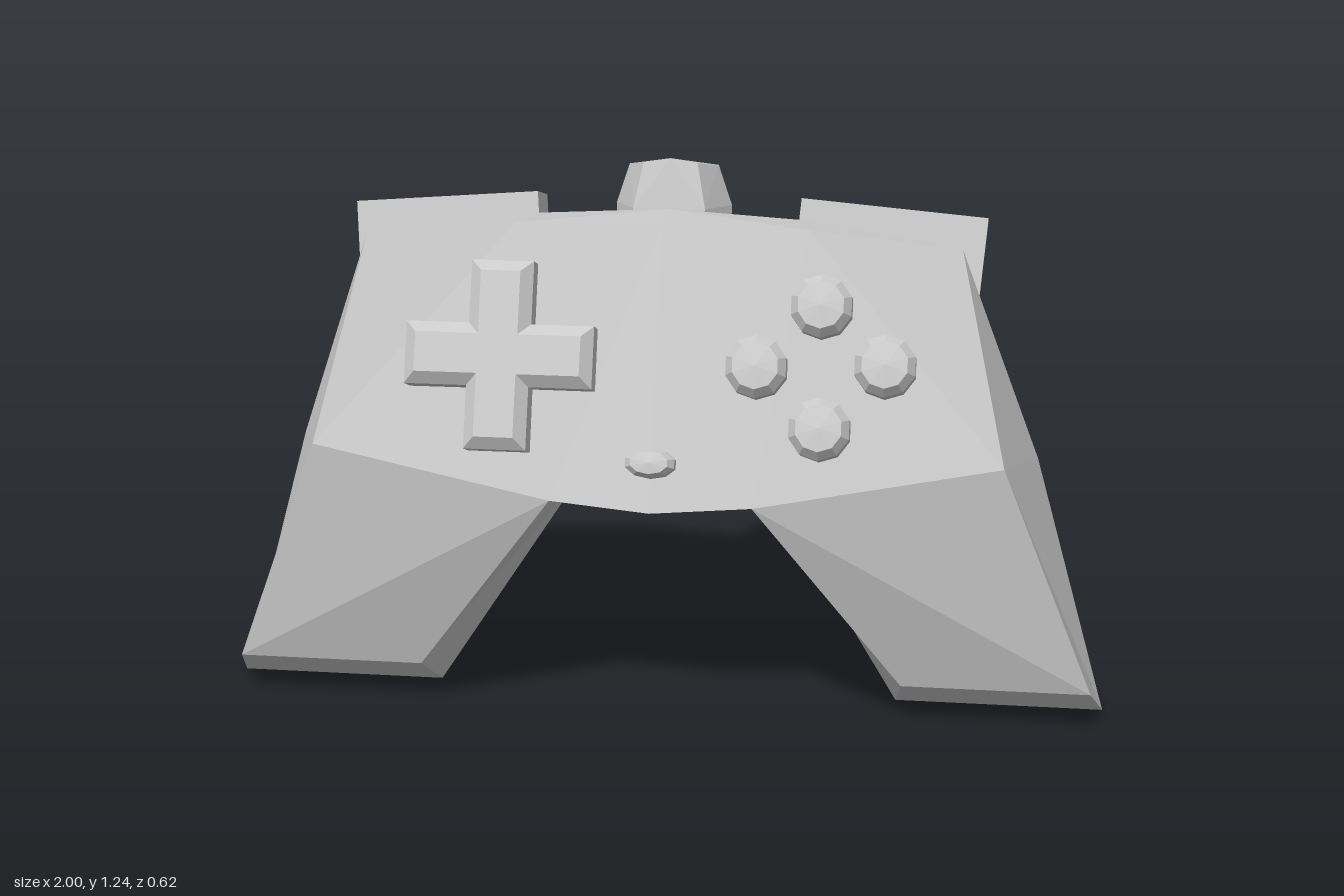
import * as THREE from 'three';
import { ConvexGeometry } from 'three/addons/geometries/ConvexGeometry.js';

const material = new THREE.MeshStandardMaterial({ color: 0xcccccc, flatShading: true });
const FACE_TILT = -0.375; // lean of the front face

function addMesh(parent, name, geometry) {
  const mesh = new THREE.Mesh(geometry, material);
  mesh.name = name;
  parent.add(mesh);
  return mesh;
}

// Corners of the left half of the shell, from the middle (0) outwards (2)
const P = {
  a0: [0, 1.125, 0.065], a1: [0.32, 1.12, 0.068], a2: [0.65, 1.09, 0.08],       // front top edge
  b0: [0, 1.13, -0.06], b1: [0.35, 1.11, -0.06], b2: [0.65, 1.045, -0.06],      // top ridge
  c0: [0, 1.01, -0.255], c1: [0.4, 1.0, -0.31], c2: [0.65, 0.97, -0.305],       // back top edge
  f0: [0, 0.54, 0.295], f1: [0.22, 0.555, 0.28], f2: [0.755, 0.645, 0.22],      // front lower edge
  k0: [0, 0.46, -0.06], k1: [0.22, 0.47, -0.12], k2: [0.79, 0.57, -0.115],      // back lower edge
  m2: [0.83, 0.6, -0.01],                                                       // side crease
  fi: [0.545, 0.1, 0.135], fo: [0.965, 0.1, 0.135],                             // grip end, front
  mi: [0.53, 0, -0.02], mo: [1, 0, -0.02],                                      // grip end, tip
  bi: [0.53, 0.04, -0.13], bo: [0.965, 0.04, -0.13],                            // grip end, back
};

const BODY_FACES = [
  'a0 f0 f1 a1', 'a1 f1 f2 a2',                                 // front
  'b0 a0 a1 b1', 'b1 a1 a2 b2', 'c0 b0 b1 c1', 'c1 b1 b2 c2',   // top
  'c0 c1 k1 k0', 'c1 c2 k2 k1',                                 // back
  'f0 k0 k1 f1',                                                // underside
  'a2 f2 m2 b2', 'b2 m2 k2 c2',                                 // side
];
const GRIP_FACES = [
  'f1 fi fo f2', 'k2 bo bi k1',                                 // front and back
  'f2 fo mo m2', 'm2 mo bo k2',                                 // outer side
  'k1 bi mi fi f1',                                             // inner side
  'fi mi mo fo', 'mi bi bo mo',                                 // end
];

// Fan each polygon into triangles; the mirrored side flips x and the winding
function facesGeometry(faces, sides) {
  const out = [];
  for (const side of sides) {
    for (const face of faces) {
      const c = face.split(' ').map((key) => P[key]);
      for (let i = 1; i < c.length - 1; i++) {
        const tri = side > 0 ? [c[0], c[i], c[i + 1]] : [c[0], c[i + 1], c[i]];
        for (const [x, y, z] of tri) out.push(side * x, y, z);
      }
    }
  }
  const geometry = new THREE.BufferGeometry();
  geometry.setAttribute('position', new THREE.Float32BufferAttribute(out, 3));
  geometry.computeVertexNormals();
  return geometry;
}

// Seat a part on the sloping face, its local z pointing out of it
function placeOnFace(mesh, x, y) {
  mesh.position.set(x, y, 0.067 + (1.125 - y) * 0.39);
  mesh.rotation.x = FACE_TILT;
}

// Round low-poly button with a faceted cap
function buttonGeometry(r, h) {
  const profile = [[r, -0.04], [r, h * 0.55], [r * 0.75, h * 0.9], [0, h]];
  return new THREE.LatheGeometry(profile.map(([x, y]) => new THREE.Vector2(x, y)), 10).rotateX(Math.PI / 2);
}

// Cross-shaped pad with a bevelled top
function directionPadGeometry() {
  const L = 0.18, W = 0.043;
  const corners = [[W, W], [W, L], [-W, L], [-W, W], [-L, W], [-L, -W],
    [-W, -W], [-W, -L], [W, -L], [W, -W], [L, -W], [L, W]];
  const shape = new THREE.Shape(corners.map(([x, y]) => new THREE.Vector2(x, y)));
  return new THREE.ExtrudeGeometry(shape, {
    depth: 0.07, bevelEnabled: true, bevelThickness: 0.025, bevelSize: 0.025, bevelSegments: 1,
  }).translate(0, 0, -0.02);
}

// Flared stub on the top edge
function topStubGeometry() {
  const half = [
    [0.075, 1.08, -0.05], [0.13, 1.08, -0.15], [0.1, 1.02, -0.2], [0.04, 1.01, -0.21],
    [0.13, 1.12, -0.16], [0.08, 1.13, -0.06],
    [0.06, 1.228, -0.09], [0.1, 1.21, -0.155], [0.095, 1.2, -0.21], [0.04, 1.195, -0.238],
  ];
  const points = [new THREE.Vector3(0, 1.238, -0.088)];
  for (const [x, y, z] of half) points.push(new THREE.Vector3(x, y, z), new THREE.Vector3(-x, y, z));
  return new ConvexGeometry(points);
}

export function createModel() {
  const model = new THREE.Group();
  model.name = 'gameController';

  addMesh(model, 'body', facesGeometry(BODY_FACES, [1, -1]));
  for (const side of [1, -1]) {
    const label = side > 0 ? 'left' : 'right';
    addMesh(model, label + 'Grip', facesGeometry(GRIP_FACES, [side]));

    // Shoulder button, sunk into the top and overhanging the side
    const shoulder = addMesh(model, label + 'ShoulderButton', new THREE.BoxGeometry(0.41, 0.185, 0.13));
    shoulder.position.set(side * 0.49, 1.04, -0.095);
    shoulder.rotation.set(-0.27, 0, side * -0.08);
  }

  placeOnFace(addMesh(model, 'directionPad', directionPadGeometry()), -0.335, 0.845);

  // Diamond of action buttons
  const buttons = new THREE.Group();
  buttons.name = 'actionButtons';
  model.add(buttons);
  for (const [x, y] of [[0.355, 0.965], [0.22, 0.84], [0.495, 0.85], [0.36, 0.72]]) {
    placeOnFace(addMesh(buttons, 'actionButton', buttonGeometry(0.068, 0.07)), x, y);
  }

  // Small oval button near the lower edge
  const small = addMesh(model, 'centreButton', buttonGeometry(0.056, 0.05));
  small.scale.y = 0.58;
  placeOnFace(small, 0, 0.64);

  addMesh(model, 'topStub', topStubGeometry());
  return model;
}
